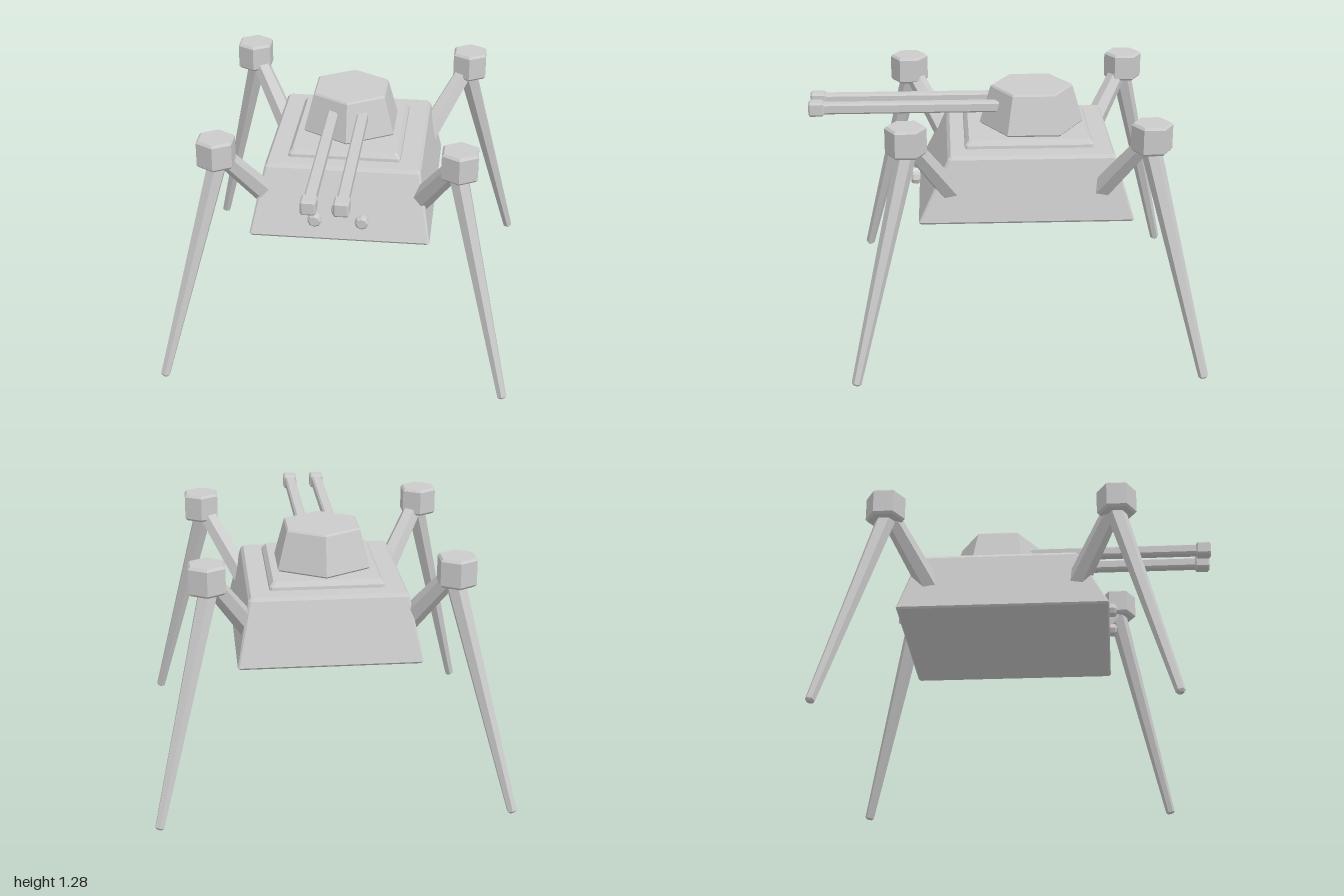
import * as THREE from 'three';

const material = new THREE.MeshStandardMaterial({ color: 0xcccccc, flatShading: true });

// Cross-section: regular polygon with a corner towards +z
const polygon = (y, r, n = 6) => Array.from({ length: n }, (_, i) => {
  const a = (i / n) * Math.PI * 2;
  return [r * Math.sin(a), y, r * Math.cos(a)];
});

// Cross-section: rectangle with cut corners
const rect = (y, hx, hz, c) => [
  [hx - c, y, hz], [hx, y, hz - c], [hx, y, c - hz], [hx - c, y, -hz],
  [c - hx, y, -hz], [-hx, y, c - hz], [-hx, y, hz - c], [c - hx, y, hz],
];

// Skin a stack of cross-sections (bottom to top) and cap both ends
function loft(name, rings) {
  const n = rings[0].length;
  const index = [];
  for (let k = 0; k < rings.length - 1; k++) {
    for (let i = 0; i < n; i++) {
      const a = k * n + i, b = k * n + (i + 1) % n;
      index.push(a, b, b + n, a, b + n, a + n);
    }
  }
  const top = (rings.length - 1) * n;
  for (let i = 1; i < n - 1; i++) {
    index.push(0, i + 1, i, top, top + i, top + i + 1);
  }
  const g = new THREE.BufferGeometry();
  g.setAttribute('position', new THREE.Float32BufferAttribute(rings.flat(2), 3));
  g.setIndex(index);
  g.computeVertexNormals();
  const mesh = new THREE.Mesh(g, material);
  mesh.name = name;
  return mesh;
}

// Prism or frustum with chamfered rims
const prism = (name, h, r0, r1, c, n = 6) => loft(name, [
  polygon(0, r0 - c, n), polygon(c, r0, n), polygon(h - c, r1, n), polygon(h, r1 - c, n),
]);

// Box with chamfered edges, standing on its base
const bevelBox = (name, hx, hz, h, c) => loft(name, [
  rect(0, hx - c, hz - c, c / 2), rect(c, hx, hz, c),
  rect(h - c, hx, hz, c), rect(h, hx - c, hz - c, c / 2),
]);

// Tapered limb between two points
function limb(name, from, to, r0, r1) {
  const a = new THREE.Vector3(...from), b = new THREE.Vector3(...to);
  const d = b.clone().sub(a);
  const mesh = prism(name, d.length(), r0, r1, 0.01);
  mesh.position.copy(a);
  mesh.quaternion.setFromUnitVectors(new THREE.Vector3(0, 1, 0), d.normalize());
  return mesh;
}

export function createModel() {
  const model = new THREE.Group();
  model.name = 'walkingTurret';
  const midZ = -0.107; // centre of the hull and legs

  // Hull with sloping sides
  const hull = loft('hull', [
    rect(0.69, 0.455, 0.54, 0.008), rect(0.7, 0.462, 0.547, 0.008),
    rect(1.012, 0.4, 0.425, 0.012), rect(1.03, 0.385, 0.41, 0.008),
  ]);
  hull.position.z = midZ;
  // Slope the front more than the back
  const p = hull.geometry.attributes.position;
  for (let i = 0; i < p.count; i++) {
    const t = (p.getY(i) - 0.69) / 0.34;
    p.setZ(i, p.getZ(i) - 0.03 * t);
  }
  model.add(hull);

  // Deck plate under the turret
  const deck = loft('deckPlate', [
    rect(1.03, 0.29, 0.33, 0.012), rect(1.045, 0.288, 0.328, 0.012),
    rect(1.07, 0.268, 0.308, 0.012),
  ]);
  deck.position.z = -0.13;
  model.add(deck);

  // Six-sided turret
  const turret = prism('turret', 0.21, 0.271, 0.215, 0.009);
  turret.position.set(0, 1.07, -0.155);
  model.add(turret);

  // Twin guns
  for (const s of [1, -1]) {
    const gun = new THREE.Group();
    gun.name = s > 0 ? 'leftGun' : 'rightGun';
    const barrel = bevelBox('barrel', 0.028, 0.028, 0.93, 0.009);
    const muzzle = bevelBox('muzzle', 0.037, 0.037, 0.08, 0.009);
    muzzle.position.y = 0.92;
    gun.add(barrel, muzzle);
    gun.rotation.x = Math.PI / 2;
    gun.position.set(s * 0.077, 1.19, 0);
    model.add(gun);
  }

  // Three front sensors
  for (const [x, y] of [[-0.12, 0.815], [0, 0.88], [0.12, 0.815]]) {
    const sensor = prism('sensor', 0.046, 0.036, 0.036, 0.011, 8);
    sensor.rotation.x = Math.PI / 2;
    sensor.position.set(x, y, 0.432);
    model.add(sensor);
  }

  // Four legs, mirrored about the hull centre
  for (const sx of [1, -1]) {
    for (const sz of [1, -1]) {
      const leg = new THREE.Group();
      leg.name = (sz > 0 ? 'front' : 'back') + (sx > 0 ? 'Left' : 'Right') + 'Leg';
      const at = (x, y, z) => [sx * x, y, midZ + sz * z];
      const knee = prism('knee', 0.145, 0.102, 0.102, 0.012);
      knee.position.set(...at(0.602, 1.125, 0.598));
      leg.add(
        knee,
        limb('upperLeg', at(0.37, 0.82, 0.367), at(0.59, 1.18, 0.586), 0.06, 0.048),
        limb('lowerLeg', at(0.872, 0.006, 0.868), at(0.585, 1.18, 0.585), 0.025, 0.052),
      );
      model.add(leg);
    }
  }
  return model;
}
